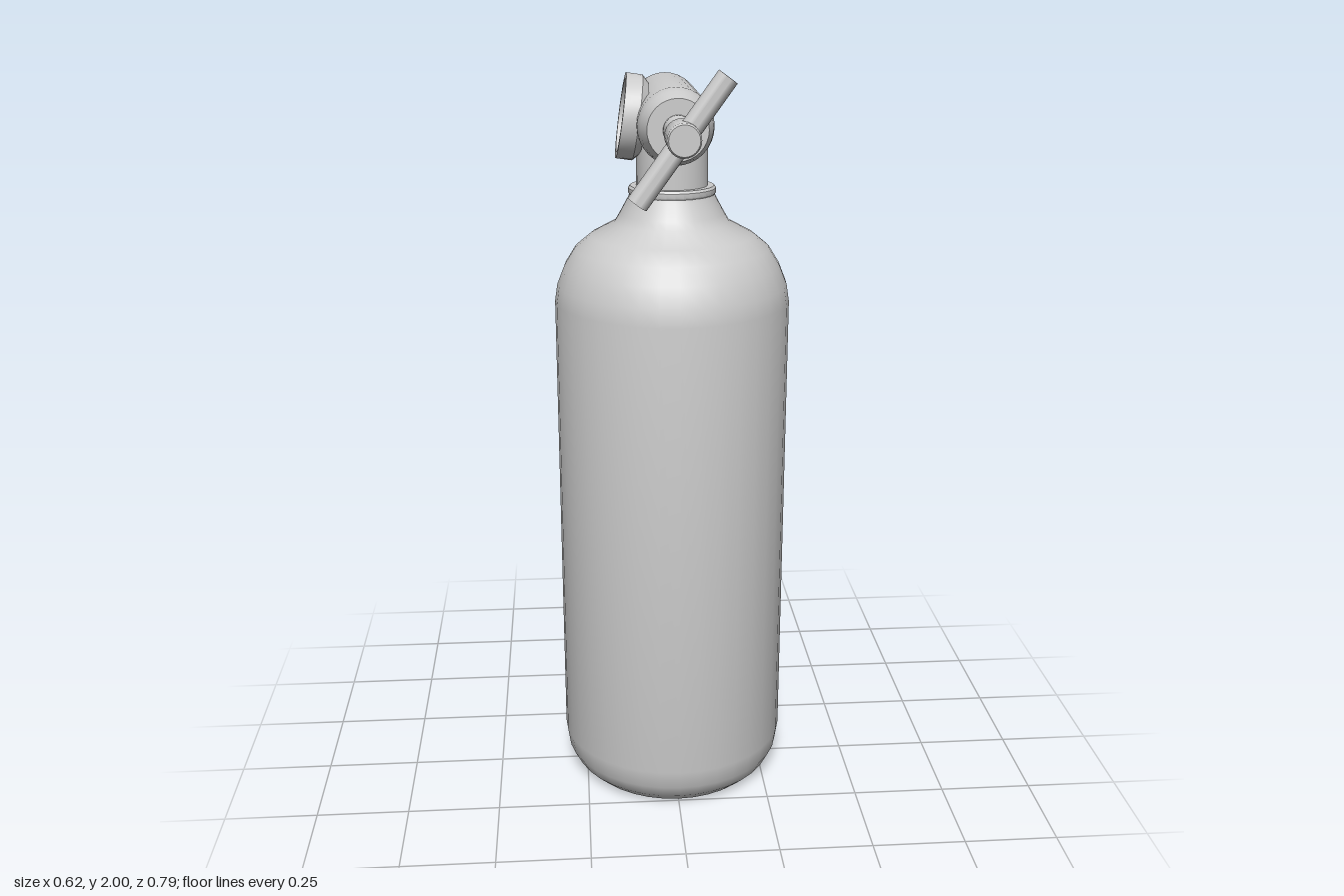
import * as THREE from 'three';
import { toCreasedNormals } from 'three/addons/utils/BufferGeometryUtils.js';

const material = new THREE.MeshStandardMaterial({ color: 0xcccccc });
const Z = -0.008;      // tank axis
const AXIS_Y = 1.846;  // valve axis height

// Turned part: profile of [radius, height] from bottom to top, hard edges kept sharp
function turned(name, profile, segments = 32, crease = 0.6) {
  const points = profile.map(([r, y]) => new THREE.Vector2(r, y));
  const geometry = toCreasedNormals(new THREE.LatheGeometry(points, segments), crease);
  const mesh = new THREE.Mesh(geometry, material);
  mesh.name = name;
  return mesh;
}

export function createModel() {
  const model = new THREE.Group();
  model.name = 'gasCylinder';

  // Bottle with bevelled foot, rounded shoulder and flared collar
  const tank = turned('tank', [
    [0, 0], [0.25, 0], [0.282, 0.03], [0.302, 0.068], [0.31, 0.12],
    [0.31, 1.38], [0.303, 1.425], [0.283, 1.475], [0.255, 1.52], [0.215, 1.553],
    [0.15, 1.588], [0.137, 1.61], [0.115, 1.65], [0.109, 1.665],
  ], 36);
  tank.position.z = Z;
  const collar = turned('collarRing', [
    [0, 1.655], [0.108, 1.655], [0.114, 1.664], [0.114, 1.676], [0.109, 1.682], [0, 1.682],
  ]);
  collar.position.z = Z;

  // Upright neck that runs into the valve body
  const neck = turned('neck', [[0, 1.66], [0.093, 1.66], [0.093, AXIS_Y], [0, AXIS_Y]]);
  neck.position.z = Z;
  model.add(tank, collar, neck);

  // Valve parts lie along the z axis
  const valve = new THREE.Group();
  valve.name = 'valve';
  valve.position.y = AXIS_Y;
  valve.rotation.x = Math.PI / 2;
  valve.add(
    turned('valveBody', [
      [0, -0.395], [0.037, -0.395], [0.062, -0.378], [0.081, -0.35], [0.092, -0.318],
      [0.096, -0.28], [0.096, 0.125], [0.09, 0.16], [0.076, 0.195], [0, 0.195],
    ]),
    turned('valveStem', [
      [0, 0.18], [0.037, 0.18], [0.037, 0.207], [0.033, 0.217], [0.033, 0.3], [0, 0.3],
    ], 24),
    turned('handleHub', [
      [0, 0.291], [0.037, 0.291], [0.041, 0.297], [0.041, 0.385], [0.037, 0.391], [0, 0.391],
    ], 24),
  );
  model.add(valve);

  // Slanted crossbar through the hub
  const bar = turned('handleBar', [[0, -0.18], [0.027, -0.18], [0.027, 0.18], [0, 0.18]], 24);
  bar.position.set(-0.002, 1.84, 0.345);
  bar.rotation.z = THREE.MathUtils.degToRad(-36);
  model.add(bar);

  // Gauge on the right side, tipped slightly upward, with a recessed dial
  const gauge = turned('gauge', [
    [0, -0.06], [0.09, -0.06], [0.108, -0.042], [0.108, 0],
    [0.092, 0], [0.086, -0.018], [0, -0.018],
  ]);
  gauge.position.set(-0.131, 1.859, -0.011);
  gauge.rotation.z = THREE.MathUtils.degToRad(82);
  model.add(gauge);

  return model;
}
